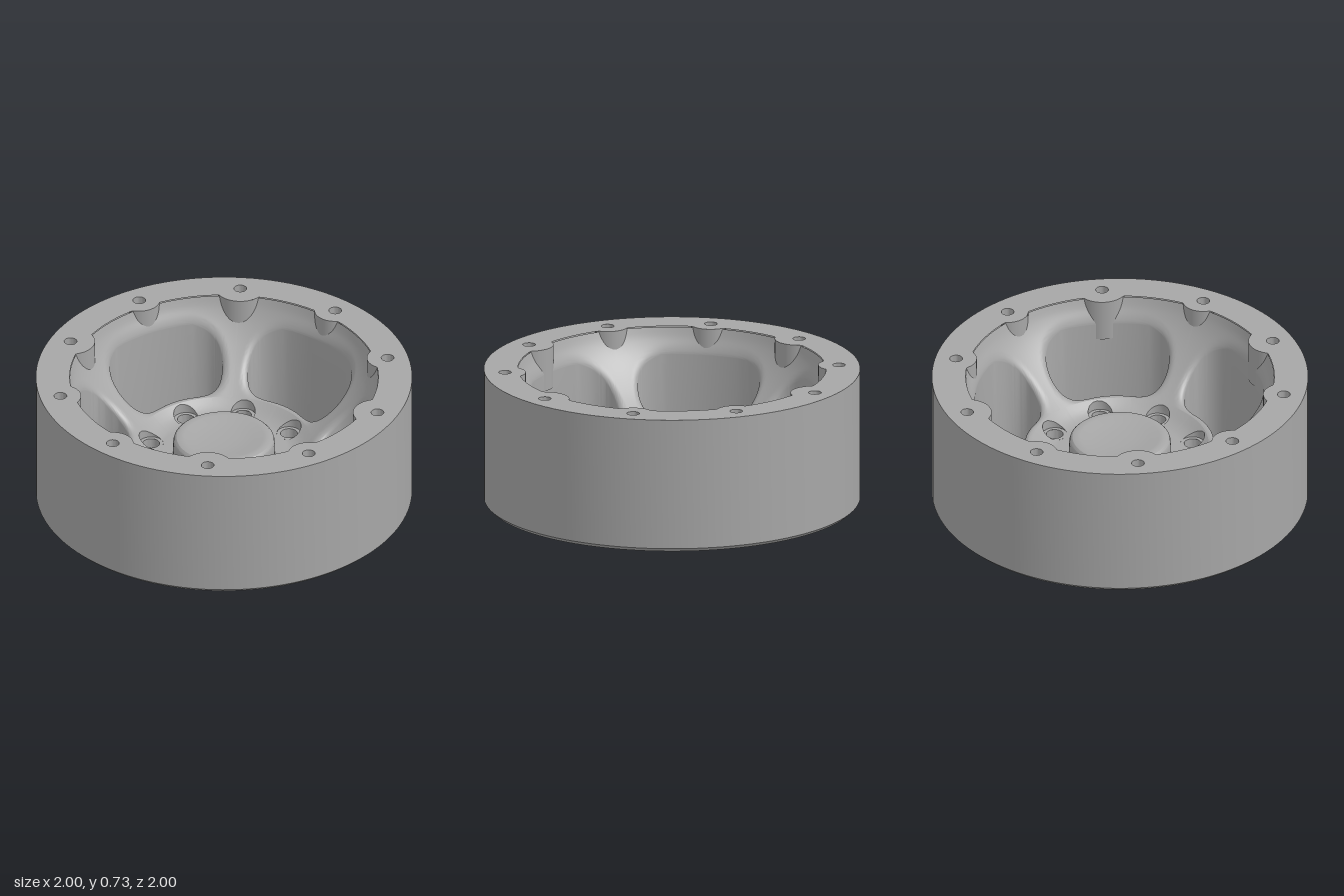
import * as THREE from 'three';
import { toCreasedNormals, mergeVertices } from 'three/addons/utils/BufferGeometryUtils.js';

const V2 = (x, y) => new THREE.Vector2(x, y);
const TAU = Math.PI * 2, DEG = Math.PI / 180;
const TOP = 0.73, FLOOR = 0.25, LIP = 0.82, HUB_EDGE = 0.47;
const BOLT_R = 0.89, LUG_R = 0.4;

// Plan coordinates: angle 0 points to the back, plan y is -z
const polar = (r, a) => V2(r * Math.sin(a), r * Math.cos(a));
const spin = (p, a) => p.clone().rotateAround(V2(0, 0), a);

// Height of the inner bowl by radius
const bowlCurve = new THREE.SplineCurve([
  [0.2, 0.25], [0.3, 0.25], [0.355, 0.25], [0.41, 0.268], [0.47, 0.308], [0.54, 0.36],
  [0.62, 0.43], [0.7, 0.515], [0.76, 0.595], [0.8, 0.668], [0.82, 0.725],
].map(([x, y]) => V2(x, y))).getPoints(200);
function bowl(r) {
  for (let i = 1; i < bowlCurve.length; i++) {
    const a = bowlCurve[i - 1], b = bowlCurve[i];
    if (r <= b.x) return Math.max(FLOOR, THREE.MathUtils.mapLinear(r, a.x, b.x, a.y, b.y));
  }
  return 0.725;
}

// Outline of one window: half given as radius and degrees, then mirrored
const half = [[0.77, 0], [0.77, 11], [0.766, 18.5], [0.743, 24.3], [0.7, 28], [0.645, 29.5],
  [0.595, 29.2], [0.548, 27.2], [0.518, 23], [0.508, 17], [0.509, 8], [0.51, 0]];
const outline = [...half, ...half.slice(1, -1).reverse().map(([r, a]) => [r, -a])];
const windowCurve = new THREE.CatmullRomCurve3(
  outline.map(([r, a]) => polar(r, a * DEG)).map((p) => new THREE.Vector3(p.x, p.y, 0)), true, 'centripetal',
).getPoints(400).map((p) => V2(p.x, p.y));

// Boundary of a wheel sector, sampled side by side
function sectorBoundary(rIn, rOut, halfAngle, n) {
  const pts = [];
  for (let i = 0; i < n; i++) pts.push(polar(rOut, halfAngle * (2 * i / n - 1)));
  for (let i = 0; i < n; i++) pts.push(polar(rOut + (rIn - rOut) * i / n, halfAngle));
  for (let i = 0; i < n; i++) pts.push(polar(rIn, halfAngle * (1 - 2 * i / n)));
  for (let i = 0; i < n; i++) pts.push(polar(rIn + (rOut - rIn) * i / n, -halfAngle));
  return pts;
}

// Where the ray from c towards p crosses a closed curve
function castToCurve(c, p, curve) {
  const d = p.clone().sub(c).normalize();
  for (let i = 0; i < curve.length; i++) {
    const a = curve[i].clone().sub(c), b = curve[(i + 1) % curve.length].clone().sub(c);
    const ca = d.cross(a), cb = d.cross(b);
    if (ca * cb <= 0 && ca !== cb) {
      const hit = a.lerp(b, ca / (ca - cb));
      if (hit.dot(d) > 0) return hit.add(c);
    }
  }
  return p.clone();
}

function distanceTo(p, loop) {
  let best = Infinity;
  loop.forEach((a, i) => {
    const ab = loop[(i + 1) % loop.length].clone().sub(a), ap = p.clone().sub(a);
    const t = THREE.MathUtils.clamp(ap.dot(ab) / Math.max(ab.lengthSq(), 1e-12), 0, 1);
    best = Math.min(best, ap.distanceTo(ab.multiplyScalar(t)));
  });
  return best;
}

// Sector of the bowl around one opening, with the opening's wall going down to yWall
function sectorPatch(loop, boundary, rings, height, yWall) {
  const n = loop.length, pos = [], idx = [];
  loop.forEach((p) => pos.push(p.x, yWall, -p.y));
  for (let k = 0; k <= rings; k++) {
    for (let i = 0; i < n; i++) {
      const p = loop[i].clone().lerp(boundary[i], (k / rings) ** 1.9);
      pos.push(p.x, height(p), -p.y);
    }
  }
  for (let k = 0; k <= rings; k++) {
    for (let i = 0; i < n; i++) {
      const a = k * n + i, b = k * n + (i + 1) % n;
      idx.push(a, a + n, b, b, a + n, b + n);
    }
  }
  const g = new THREE.BufferGeometry();
  g.setAttribute('position', new THREE.Float32BufferAttribute(pos, 3));
  g.setIndex(idx);
  return toCreasedNormals(g, 0.7);
}

const circle = (c, r, n = 28) => Array.from({ length: n }, (_, i) => polar(r, i / n * TAU).add(c));
const lathe = (pts, n = 96) => toCreasedNormals(mergeVertices(
  new THREE.LatheGeometry(pts.map(([x, y]) => V2(x, y)), n).deleteAttribute('normal').deleteAttribute('uv')), 0.5);

// Flat plate with holes, facing up or down
function plate(contour, holes, y, up) {
  const flip = (pts) => pts.map((p) => V2(p.x, up ? p.y : -p.y));
  const s = new THREE.Shape(flip(contour));
  holes.forEach((h) => s.holes.push(new THREE.Path(flip(h))));
  return new THREE.ShapeGeometry(s).rotateX(up ? -Math.PI / 2 : Math.PI / 2).translate(0, y, 0);
}

export function createModel() {
  const group = new THREE.Group();
  const grey = new THREE.MeshStandardMaterial({ color: 0xa6a6a6, side: THREE.DoubleSide });
  grey.name = 'plain grey';
  const add = (name, geo, at) => {
    const m = new THREE.Mesh(geo, grey);
    m.name = name;
    if (at) m.position.set(at.x, 0, -at.y);
    group.add(m);
    return m;
  };

  // Outer barrel with bottom chamfer
  add('barrel', lathe([[0.98, 0], [1, 0.02], [1, TOP]], 128));

  // Bowl with spokes and five windows, edges rounded into the openings
  const boundary = sectorBoundary(HUB_EDGE, LIP, 36 * DEG, 26);
  const centre = V2(0, 0.64);
  const loop = boundary.map((p) => castToCurve(centre, p, windowCurve));
  const spokeHeight = (p) => {
    const r = p.length(), d = distanceTo(p, loop);
    const f = THREE.MathUtils.clamp(0.055 - 0.12 * (r - 0.5), 0.02, 0.055);
    return bowl(r) - (d < f ? f - Math.sqrt(f * f - (f - d) ** 2) : 0);
  };
  const spokeGeo = sectorPatch(loop, boundary, 14, spokeHeight, 0);
  for (let k = 0; k < 5; k++) add('spokeSector', spokeGeo).rotation.y = k * TAU / 5;

  // Hub floor in eight sectors, each with a lug pocket
  const hubBoundary = sectorBoundary(0.26, HUB_EDGE + 0.002, 22.5 * DEG, 12);
  const lugCentre = V2(0, LUG_R);
  const pocket = hubBoundary.map((p) => p.clone().sub(lugCentre).setLength(0.065).add(lugCentre));
  const hubGeo = sectorPatch(pocket, hubBoundary, 8, (p) => bowl(p.length()), FLOOR);
  const seatGeo = new THREE.RingGeometry(0.045, 0.065, 48).rotateX(-Math.PI / 2).translate(0, FLOOR, 0);
  const lugHole = lathe([[0.056, 0], [0.045, 0.02], [0.045, FLOOR]], 28);
  const lugs = Array.from({ length: 8 }, (_, k) => spin(lugCentre, k * TAU / 8));
  lugs.forEach((p, k) => {
    add('hubSector', hubGeo).rotation.y = k * TAU / 8;
    add('lugSeat', seatGeo, p);
    add('lugHole', lugHole, p);
  });

  // Raised hub cap with a shallow dish, and the blind bore below it
  add('hubCap', lathe([[0.27, FLOOR], [0.27, 0.325], [0.265, 0.342], [0.253, 0.354], [0.235, 0.359],
    [0.21, 0.357], [0.16, 0.345], [0.08, 0.338], [0, 0.336]]));
  add('centreBore', lathe([[0.223, 0], [0.223, 0.28], [0, 0.28]]));

  // Rim bolt bosses and through holes
  const bolts = Array.from({ length: 10 }, (_, k) => {
    const a = k * TAU / 10;
    return { a, p: polar(BOLT_R, a), r: [1, 4, 6, 9].includes(k) ? 0.13 : 0.11 };
  });
  const boltHole = lathe([[0.05, 0], [0.034, 0.02], [0.034, TOP]], 28);
  bolts.forEach(({ a, p, r }) => {
    const boss = new THREE.CylinderGeometry(r, r, 0.23, 24, 1, true, -Math.PI / 3, TAU / 3);
    add('rimBoss', boss.translate(0, TOP - 0.115, 0), p).rotation.y = -a;
    add('boltHole', boltHole, p);
  });

  // Top lip, its inner edge following the bosses
  const inner = Array.from({ length: 720 }, (_, i) => {
    const a = i / 720 * TAU;
    let r = LIP;
    bolts.forEach((b) => {
      const q = b.r ** 2 - (BOLT_R * Math.sin(a - b.a)) ** 2;
      if (q > 0 && Math.cos(a - b.a) > 0) r = Math.min(r, BOLT_R * Math.cos(a - b.a) - Math.sqrt(q));
    });
    return polar(r, a);
  });
  const origin = V2(0, 0);
  add('topLip', plate(circle(origin, 1, 128), [inner, ...bolts.map((b) => circle(b.p, 0.034))], TOP, true));

  // Flat underside with all openings
  const windows = Array.from({ length: 5 }, (_, k) => loop.map((p) => spin(p, k * TAU / 5)));
  add('underside', plate(circle(origin, 0.98, 128), [
    ...windows, circle(origin, 0.223, 96),
    ...bolts.map((b) => circle(b.p, 0.05)), ...lugs.map((p) => circle(p, 0.056)),
  ], 0, false));

  return group;
}
